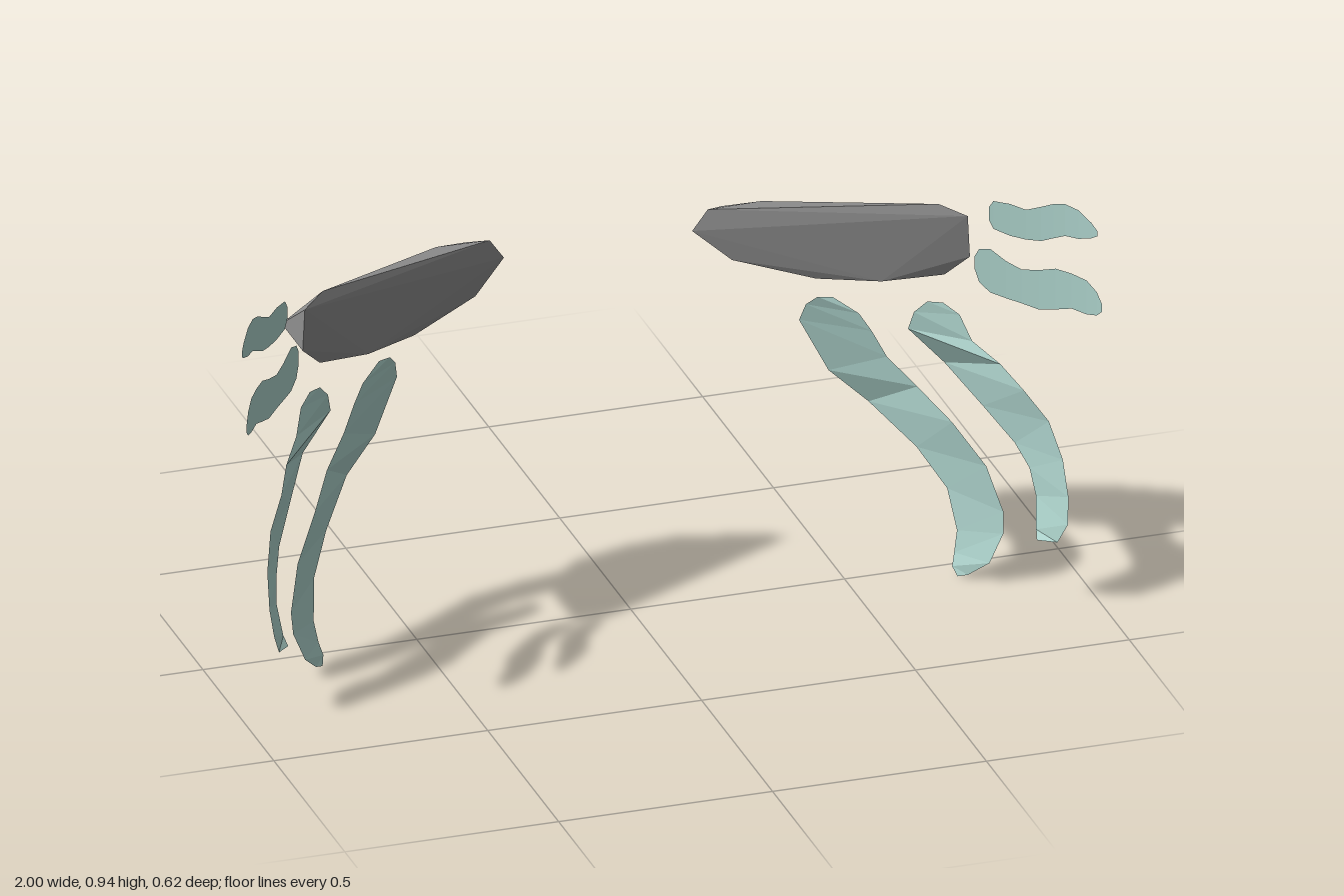
import * as THREE from 'three';
import { ConvexGeometry } from 'three/addons/geometries/ConvexGeometry.js';

const teal = new THREE.MeshStandardMaterial({ color: 0xb0d6cf, flatShading: true, side: THREE.DoubleSide });
teal.name = 'paleTeal';
const grey = new THREE.MeshStandardMaterial({ color: 0x8c8c8c, flatShading: true });
grey.name = 'stoneGrey';

// Long curved stripes: pairs of points on the outer and inner edge, top to bottom
const innerStripe = [
  [[0.53, 0.612, -0.175], [0.5, 0.61, -0.19]],
  [[0.58, 0.58, -0.14], [0.48, 0.585, -0.212]],
  [[0.605, 0.54, -0.125], [0.47, 0.54, -0.23]],
  [[0.635, 0.48, -0.108], [0.53, 0.42, -0.203]],
  [[0.69, 0.42, -0.06], [0.61, 0.35, -0.162]],
  [[0.745, 0.36, 0.02], [0.69, 0.27, -0.065]],
  [[0.805, 0.27, 0.08], [0.74, 0.19, 0]],
  [[0.833, 0.17, 0.117], [0.752, 0.1, 0.033]],
  [[0.83, 0.12, 0.124], [0.743, 0.05, 0.04]],
  [[0.8, 0.05, 0.118], [0.735, 0.022, 0.05]],
  [[0.762, 0.01, 0.08], [0.742, 0.003, 0.066]],
];
const outerStripe = [
  [[0.74, 0.632, -0.03], [0.71, 0.63, -0.05]],
  [[0.77, 0.61, -0.003], [0.685, 0.6, -0.068]],
  [[0.79, 0.555, 0.025], [0.675, 0.555, -0.08]],
  [[0.835, 0.52, 0.09], [0.75, 0.475, -0.05]],
  [[0.868, 0.48, 0.155], [0.81, 0.4, 0.04]],
  [[0.91, 0.42, 0.205], [0.86, 0.335, 0.115]],
  [[0.93, 0.34, 0.243], [0.88, 0.29, 0.158]],
  [[0.934, 0.26, 0.27], [0.888, 0.23, 0.18]],
  [[0.928, 0.2, 0.285], [0.88, 0.16, 0.205]],
  [[0.91, 0.15, 0.265], [0.875, 0.143, 0.225]],
];

// Short wavy stripes: z, upper y, lower y
const upperWave = [
  [0.052, 0.89, 0.86], [0.06, 0.908, 0.84], [0.09, 0.91, 0.832], [0.12, 0.905, 0.832],
  [0.15, 0.922, 0.838], [0.175, 0.937, 0.853], [0.2, 0.945, 0.867], [0.23, 0.94, 0.87],
  [0.26, 0.92, 0.882], [0.275, 0.905, 0.892],
];
const lowerWave = [
  [0.042, 0.77, 0.74], [0.05, 0.79, 0.71], [0.07, 0.797, 0.69], [0.1, 0.776, 0.685],
  [0.13, 0.765, 0.682], [0.165, 0.775, 0.678], [0.2, 0.79, 0.69], [0.235, 0.79, 0.704],
  [0.27, 0.785, 0.702], [0.295, 0.765, 0.708], [0.308, 0.74, 0.722],
];

// Wedge-shaped brow corners
const browPoints = [
  [0.22, 0.795, -0.23], [0.255, 0.845, -0.225],                        // inner tip
  [0.54, 0.86, -0.1], [0.72, 0.89, 0], [0.775, 0.87, 0.04],            // front top rim
  [0.3, 0.83, -0.262], [0.38, 0.847, -0.225],                          // back top rim
  [0.78, 0.77, 0.04], [0.73, 0.72, 0.01], [0.6, 0.7, -0.04],           // front lower rim
  [0.47, 0.695, -0.11], [0.3, 0.73, -0.19],
  [0.78, 0.77, -0.11], [0.72, 0.732, -0.19], [0.62, 0.7, -0.26],       // back lower rim
  [0.48, 0.7, -0.3], [0.38, 0.703, -0.308],
];

// Thin sheet spanned between paired edge points
function sheet(pairs, side) {
  const pos = [];
  const put = (...pts) => pts.forEach(([x, y, z]) => pos.push(x * side, y, z));
  for (let i = 0; i < pairs.length - 1; i++) {
    const [a, b] = pairs[i], [c, d] = pairs[i + 1];
    // corner order flips with the mirrored side
    if (side > 0) put(a, b, c, c, b, d);
    else put(a, c, b, c, d, b);
  }
  const geo = new THREE.BufferGeometry();
  geo.setAttribute('position', new THREE.Float32BufferAttribute(pos, 3));
  geo.computeVertexNormals();
  return geo;
}

// Bend a wave around the cheek: x follows z from x0 to 1 with a slight bow
function wavePairs(rows, x0) {
  const z0 = rows[0][0], z1 = rows[rows.length - 1][0];
  return rows.map(([z, top, low]) => {
    const t = (z - z0) / (z1 - z0);
    const x = x0 + (1 - x0) * (t + 0.25 * t * (1 - t));
    return [[x, top, z], [x, low, z]];
  });
}

export function createModel() {
  const model = new THREE.Group();
  model.name = 'faceMarkings';
  for (const side of [1, -1]) {
    const half = new THREE.Group();
    half.name = side > 0 ? 'leftMarkings' : 'rightMarkings';
    const add = (name, geo, mat) => {
      const mesh = new THREE.Mesh(geo, mat);
      mesh.name = name;
      half.add(mesh);
    };
    add('brow', new ConvexGeometry(browPoints.map(([x, y, z]) => new THREE.Vector3(x * side, y, z))), grey);
    add('innerStripe', sheet(innerStripe, side), teal);
    add('outerStripe', sheet(outerStripe, side), teal);
    add('upperWave', sheet(wavePairs(upperWave, 0.82), side), teal);
    add('lowerWave', sheet(wavePairs(lowerWave, 0.79), side), teal);
    model.add(half);
  }
  return model;
}
